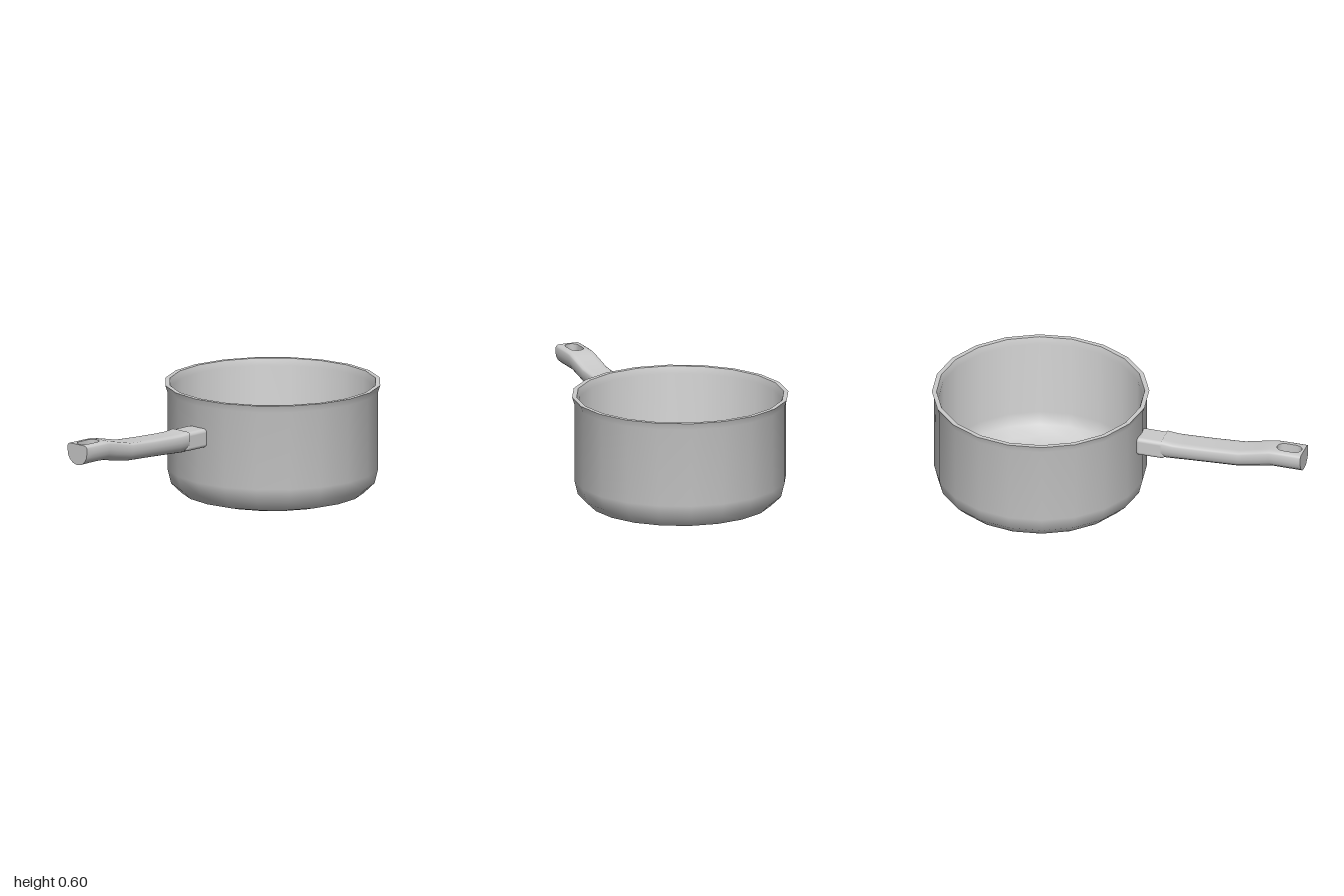
import * as THREE from 'three';
import { toCreasedNormals } from 'three/addons/utils/BufferGeometryUtils.js';
import { RoundedBoxGeometry } from 'three/addons/geometries/RoundedBoxGeometry.js';

const grey = new THREE.MeshStandardMaterial({ color: 0xcccccc });

function part(name, geometry, x = 0, y = 0, z = 0) {
  const mesh = new THREE.Mesh(geometry, grey);
  mesh.name = name;
  mesh.position.set(x, y, z);
  return mesh;
}

// Handle: a D-shaped section swept along x, with a stadium slot near its free end.
function handleGeometry() {
  const W = 0.07, slotR = 0.036, slotX = -0.92, slotStraight = 0.031;
  // Shared z positions for the top, the bottom and the slot walls
  const inner = [-90, -60, -30, 0, 30, 60, 90].map(a => slotR * Math.sin(a * Math.PI / 180));
  const zs = [-W, -0.066, -0.056, ...inner, 0.056, 0.066, W];
  const bulge = z => Math.sqrt(Math.max(0, 1 - (z / W) ** 2));
  const inSlot = z => Math.abs(z) < slotR + 1e-6;
  const slotHalf = z => slotStraight + Math.sqrt(Math.max(0, slotR ** 2 - z * z));

  // Stations: x, top y, bottom y, and which side of the slot they follow
  const stations = [
    [-1, 0.5, 0.39, 0], [slotX, 0.5, 0.39, -1], [slotX, 0.5, 0.39, 1], [-0.83, 0.498, 0.39, 0],
    [-0.77, 0.485, 0.377, 0], [-0.66, 0.46, 0.357, 0], [-0.5, 0.45, 0.349, 0],
    [-0.36, 0.444, 0.341, 0], [-0.3, 0.443, 0.337, 0], [-0.24, 0.449, 0.333, 0],
  ];
  const point = (i, k, top) => {
    const [x, yt, yb, side] = stations[i], z = zs[k], h = yt - yb;
    const y = top ? yt - 0.12 * h * (1 - Math.min(1, 1.6 * bulge(z)))
                  : yb + 0.6 * h * (1 - bulge(z));
    return [x + side * slotHalf(z), y, z];
  };

  const pos = [];
  const quad = (a, b, c, d) => pos.push(...a, ...b, ...c, ...a, ...c, ...d);
  const last = zs.length - 1, end = stations.length - 1;

  for (let i = 0; i < end; i++) {
    for (let k = 0; k < last; k++) {
      if (i === 1 && inSlot(zs[k]) && inSlot(zs[k + 1])) continue;
      quad(point(i, k, true), point(i, k + 1, true), point(i + 1, k + 1, true), point(i + 1, k, true));
      quad(point(i, k, false), point(i + 1, k, false), point(i + 1, k + 1, false), point(i, k + 1, false));
    }
    // Long sides
    quad(point(i, last, true), point(i, last, false), point(i + 1, last, false), point(i + 1, last, true));
    quad(point(i, 0, true), point(i + 1, 0, true), point(i + 1, 0, false), point(i, 0, false));
  }

  // End caps and rounded slot walls
  const wall = (i, k, facesRight) => {
    const q = [point(i, k, true), point(i, k + 1, true), point(i, k + 1, false), point(i, k, false)];
    quad(...(facesRight ? q : q.reverse()));
  };
  for (let k = 0; k < last; k++) {
    wall(0, k, false);
    wall(end, k, true);
    if (inSlot(zs[k]) && inSlot(zs[k + 1])) {
      wall(1, k, true);
      wall(2, k, false);
    }
  }
  // Straight slot walls
  const k0 = 3, k1 = 3 + inner.length - 1;
  quad(point(1, k0, true), point(1, k0, false), point(2, k0, false), point(2, k0, true));
  quad(point(1, k1, true), point(2, k1, true), point(2, k1, false), point(1, k1, false));

  const geometry = new THREE.BufferGeometry();
  geometry.setAttribute('position', new THREE.Float32BufferAttribute(pos, 3));
  return toCreasedNormals(geometry, 0.7);
}

export function createModel() {
  const group = new THREE.Group();
  group.name = 'saucepan';
  const potX = 0.435, sides = 20;

  // Pot wall: up the outside, over the flared lip, down the inside to the floor
  const profile = [
    [0.41, 0.003], [0.48, 0.022], [0.535, 0.075], [0.553, 0.148], [0.553, 0.56], [0.565, 0.597],
    [0.541, 0.597], [0.53, 0.56], [0.528, 0.15], [0.508, 0.085], [0.455, 0.042], [0.38, 0.025], [0, 0.025],
  ].map(p => new THREE.Vector2(...p));
  group.add(part('pot', toCreasedNormals(new THREE.LatheGeometry(profile, sides), 0.7), potX));

  // Flat underside
  const base = new THREE.LatheGeometry(
    [[0, 0], [0.4, 0], [0.41, 0.003]].map(p => new THREE.Vector2(...p)), sides);
  group.add(part('base', base, potX));

  // Bracket between pot and grip
  group.add(part('handleBracket', new RoundedBoxGeometry(0.16, 0.1, 0.13, 3, 0.02), -0.18, 0.395, -0.005));

  // Grip with hanging slot
  group.add(part('handle', handleGeometry(), 0, 0, -0.004));
  return group;
}
